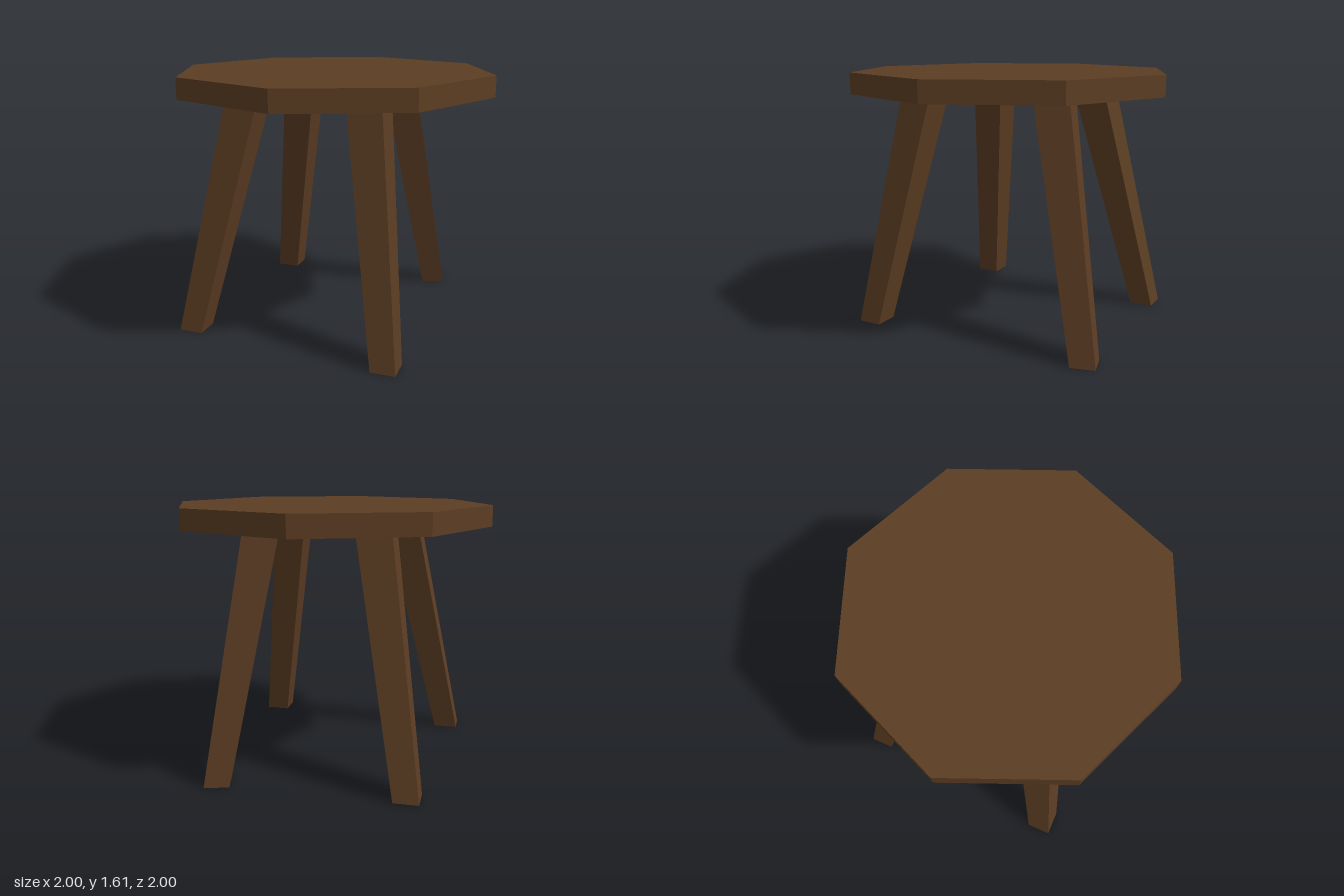
import * as THREE from 'three';

const LEG_TOP = 1.478;

// Square leg with level ends, tapering and leaning from its top centre to its foot centre
function makeLeg(name, foot, top, turn, material) {
  const geometry = new THREE.BoxGeometry(1, 1, 1).toNonIndexed();
  const p = geometry.attributes.position;
  const c = Math.cos(turn), s = Math.sin(turn);
  for (let i = 0; i < p.count; i++) {
    const up = p.getY(i) > 0;
    const [cx, cz] = up ? top : foot;
    const width = up ? 0.21 : 0.15;
    const x = p.getX(i) * width, z = p.getZ(i) * width;
    p.setXYZ(i, cx + x * c + z * s, up ? LEG_TOP : 0, cz - x * s + z * c);
  }
  geometry.computeVertexNormals();
  const leg = new THREE.Mesh(geometry, material);
  leg.name = name;
  return leg;
}

export function createModel() {
  const stool = new THREE.Group();
  stool.name = 'stool';
  const wood = new THREE.MeshStandardMaterial({ color: 0x5c3d23 });
  wood.name = 'dark brown wood';

  // Eight-sided seat, a corner on each axis
  const seatGeometry = new THREE.CylinderGeometry(1, 1, 0.128, 8).toNonIndexed();
  seatGeometry.computeVertexNormals();
  const seat = new THREE.Mesh(seatGeometry, wood);
  seat.name = 'seat';
  seat.position.y = 1.541;
  stool.add(seat);

  // Four splayed legs, each set a little unevenly: name, foot [x, z], top [x, z], turn
  const legs = [
    ['frontRightLeg', [-0.731, 0.578], [-0.415, 0.365], 0],
    ['frontLeftLeg', [0.561, 0.7], [0.355, 0.411], 0],
    ['backRightLeg', [-0.612, -0.722], [-0.365, -0.416], 0],
    ['backLeftLeg', [0.512, -0.758], [0.309, -0.452], 0.26],
  ];
  for (const [name, foot, top, turn] of legs) stool.add(makeLeg(name, foot, top, turn, wood));

  return stool;
}
